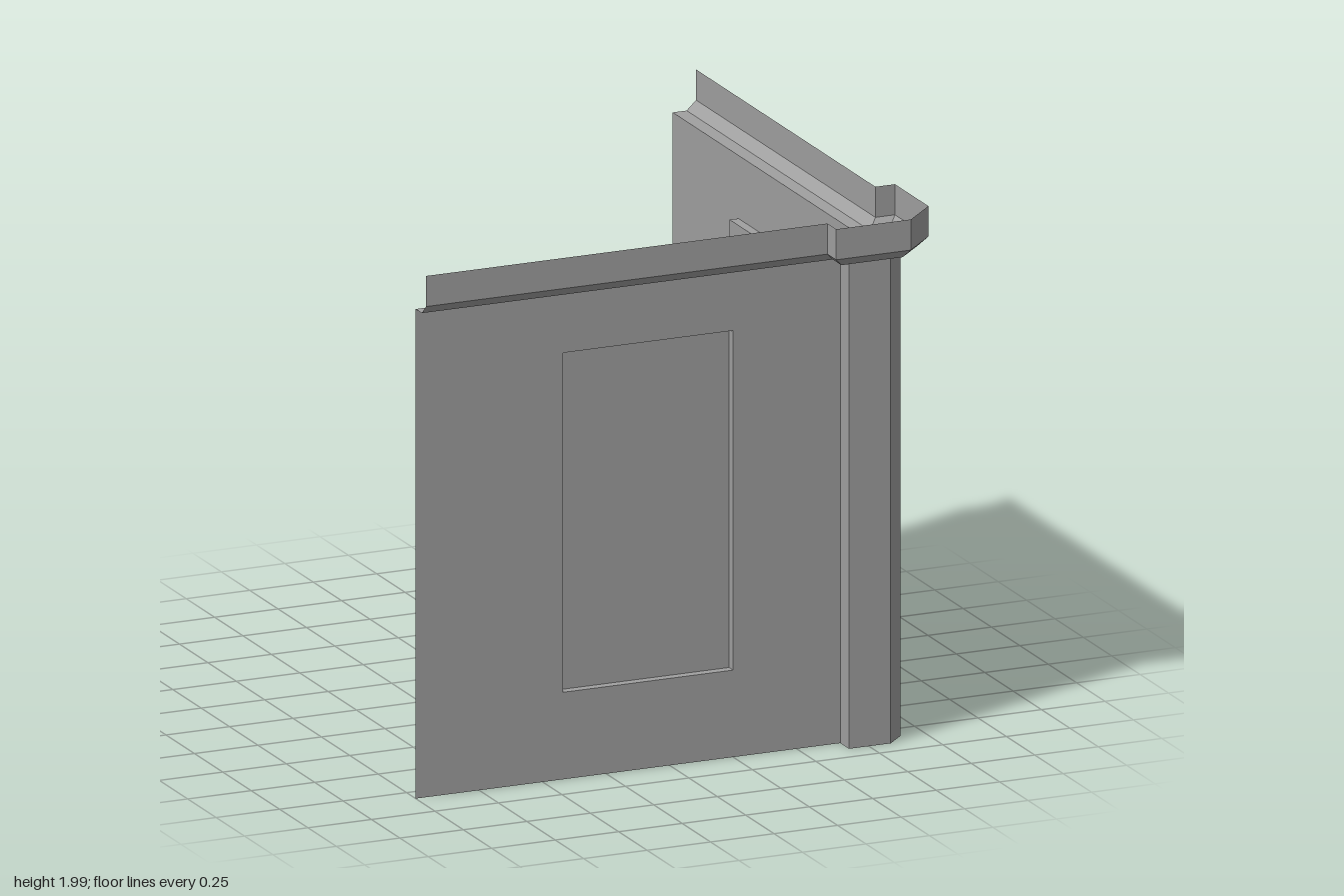
import * as THREE from 'three';

const WALL = 0.83, TOP = 1.84, DEPTH = 0.035;
const stone = new THREE.MeshStandardMaterial({ color: 0xa0a0a0, side: THREE.DoubleSide });
stone.name = 'grey stone';

// Plan of the outer face, [x, z], from the left end round the corner to the back end
const half = [[-1, WALL], [0.672, WALL], [0.672, 0.907], [0.836, 0.907]];
const plan = [...half, ...half.map(([x, z]) => [z, x]).reverse()];

function mesh(name, geometry) {
  const m = new THREE.Mesh(geometry, stone);
  m.name = name;
  return m;
}

// Plan offset outwards by d with mitred corners
function offsetPlan(path, d) {
  const normals = path.slice(1).map(([x, z], i) =>
    new THREE.Vector2(path[i][1] - z, x - path[i][0]).normalize());
  return path.map(([x, z], i) => {
    const a = normals[Math.max(i - 1, 0)];
    const b = normals[Math.min(i, normals.length - 1)];
    const k = d / (1 + a.dot(b));
    return [x + (a.x + b.x) * k, z + (a.y + b.y) * k];
  });
}

// Sheet that carries a profile of [offset, y] points along a plan path
function sweep(path, profile) {
  const rows = profile.map(([d, y]) => offsetPlan(path, d).map(([x, z]) => [x, y, z]));
  const pos = [];
  for (let j = 0; j + 1 < rows.length; j++) {
    for (let i = 0; i + 1 < path.length; i++) {
      const a = rows[j][i], b = rows[j][i + 1], c = rows[j + 1][i + 1], e = rows[j + 1][i];
      pos.push(...a, ...b, ...c, ...a, ...c, ...e);
    }
  }
  const g = new THREE.BufferGeometry();
  g.setAttribute('position', new THREE.Float32BufferAttribute(pos, 3));
  g.computeVertexNormals();
  return g;
}

function rect(x0, x1, y0, y1) {
  return [[x0, y0], [x1, y0], [x1, y1], [x0, y1]].map(([x, y]) => new THREE.Vector2(x, y));
}

// Flat sheet with a rectangular opening
function pierced(outer, inner) {
  const shape = new THREE.Shape(outer);
  shape.holes.push(new THREE.Path(inner));
  return new THREE.ShapeGeometry(shape);
}

// One wall with its framed, sunken panel; s = -1 mirrors it
function createWall(name, s) {
  const wall = new THREE.Group();
  wall.name = name;
  const outline = rect(-s, 0.672 * s, 0, TOP);
  const frame = rect(-0.45 * s, 0.28 * s, 0.3, 1.63);
  const opening = rect(-0.42 * s, 0.25 * s, 0.327, 1.603);

  const face = mesh('wallFace', pierced(outline, frame));
  const border = mesh('panelFrame', pierced(frame, opening));
  face.position.z = border.position.z = WALL;

  // Recess: a box without its front face
  const box = new THREE.BoxGeometry(0.67, 1.276, DEPTH);
  box.setIndex(Array.from(box.index.array).filter((_, i) => i < 24 || i >= 30));
  box.clearGroups();
  const recess = mesh('sunkenPanel', box);
  recess.position.set(-0.085 * s, 0.965, WALL - DEPTH / 2);

  wall.add(face, border, recess);
  return wall;
}

export function createModel() {
  const model = new THREE.Group();
  model.name = 'cornerWall';

  const frontWall = createWall('frontWall', 1);
  const sideWall = createWall('sideWall', -1);
  sideWall.rotation.y = Math.PI / 2;

  const pilaster = mesh('cornerPilaster', sweep(plan.slice(1, 7), [[0, 0], [0, TOP]]));
  const cornice = mesh('cornice',
    sweep(plan, [[0, TOP], [0.055, TOP], [0.092, 1.875], [0.092, 1.99]]));

  model.add(frontWall, sideWall, pilaster, cornice);
  return model;
}
